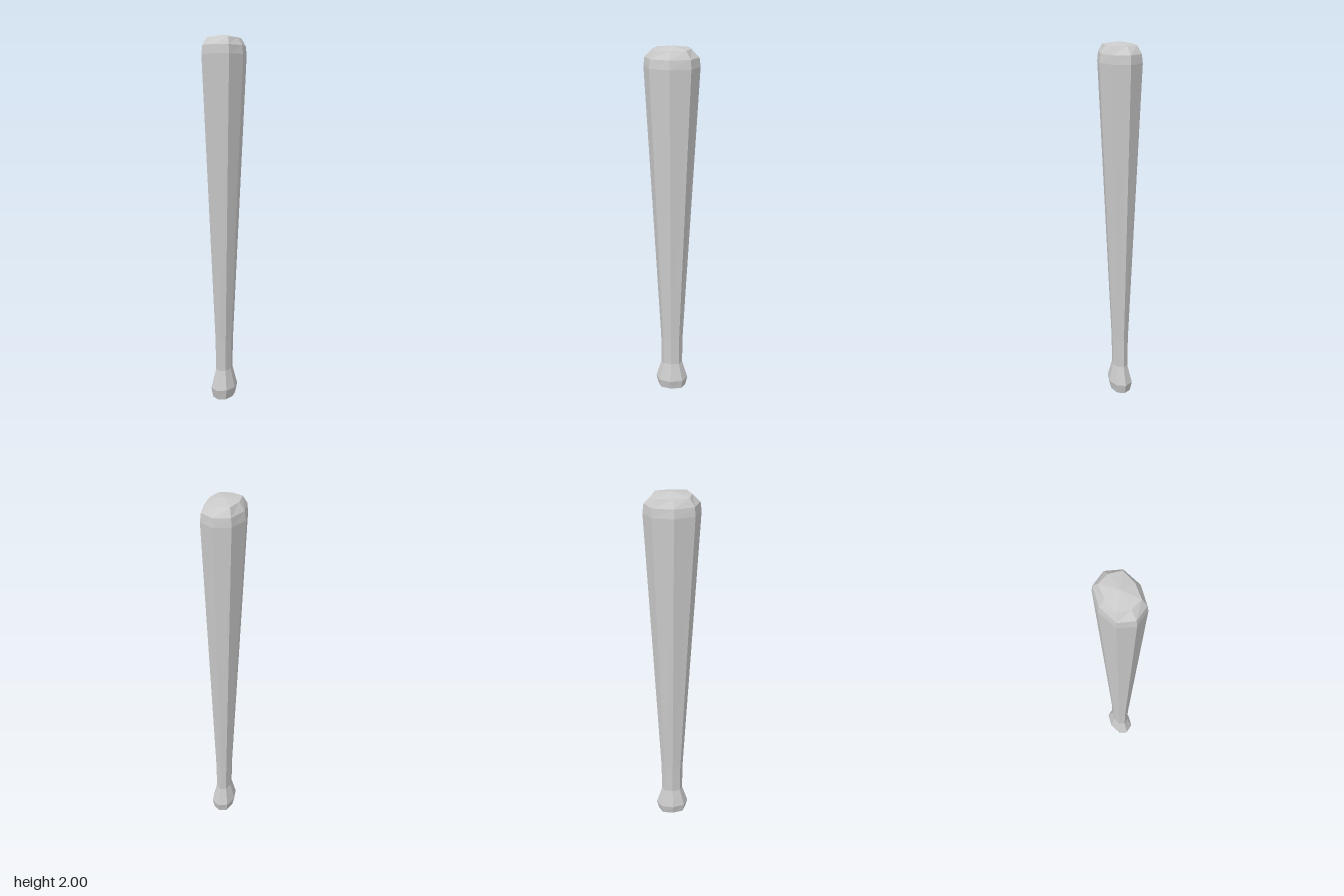
import * as THREE from 'three';

// Rings from bottom to top: [y, half width x, half depth z, diagonal corner factor]
const RINGS = [
  [0, 0, 0, 0.73],
  [0.03, 0.052, 0.078, 0.75],
  [0.085, 0.065, 0.092, 0.73],
  [0.19, 0.04, 0.06, 0.73],
  [0.36, 0.043, 0.062, 0.73],
  [1.9, 0.109, 0.142, 0.73],
  [1.945, 0.102, 0.136, 0.74],
  [1.985, 0.075, 0.096, 0.81],
  [2, 0, 0, 0.73],
];

// Eight-sided oval cross-section corner
function corner([y, w, d, k], i) {
  const a = (i * Math.PI) / 4;
  const f = i % 2 ? k * Math.SQRT2 : 1;
  return [Math.sin(a) * w * f, y, Math.cos(a) * d * f];
}

// Skin between consecutive rings, faceted
function loft(rings) {
  const pos = [];
  for (let r = 0; r < rings.length - 1; r++) {
    const [lo, hi] = [rings[r], rings[r + 1]];
    for (let i = 0; i < 8; i++) {
      const a = corner(lo, i), b = corner(lo, i + 1);
      const c = corner(hi, i + 1), d = corner(hi, i);
      if (lo[1] > 0) pos.push(...a, ...b, ...(hi[1] > 0 ? c : d));
      if (hi[1] > 0) pos.push(...a, ...c, ...d);
    }
  }
  const geo = new THREE.BufferGeometry();
  geo.setAttribute('position', new THREE.Float32BufferAttribute(pos, 3));
  geo.computeVertexNormals();
  return geo;
}

export function createModel() {
  const group = new THREE.Group();
  group.name = 'bat';
  const material = new THREE.MeshStandardMaterial({ color: 0xcccccc, flatShading: true });
  const add = (name, rings) => {
    const mesh = new THREE.Mesh(loft(rings), material);
    mesh.name = name;
    group.add(mesh);
  };
  add('pommel', RINGS.slice(0, 4));
  add('grip', RINGS.slice(3, 5));
  add('barrel', RINGS.slice(4, 6));
  add('roundedTip', RINGS.slice(5));
  return group;
}
